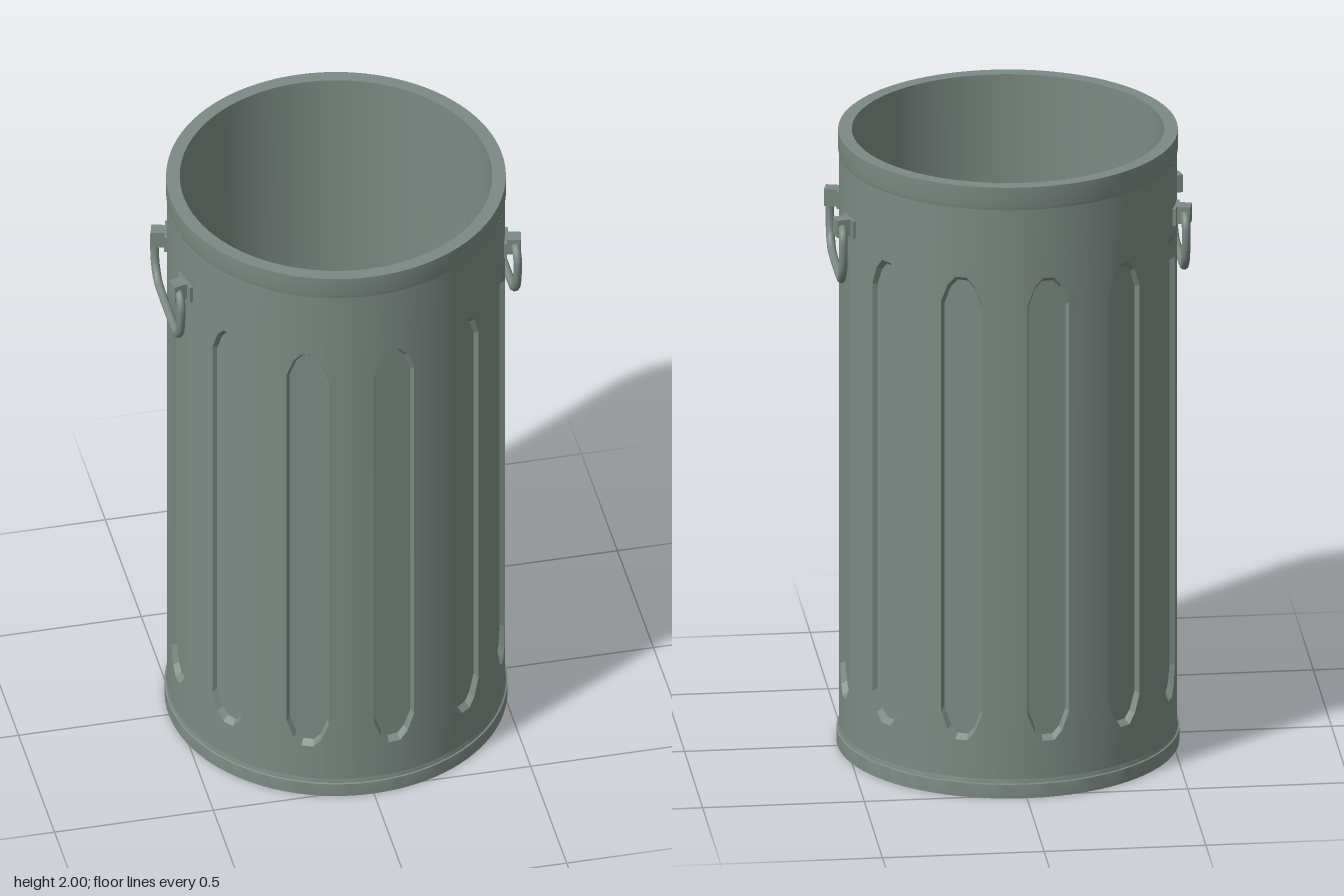
import * as THREE from 'three';
import { toCreasedNormals } from 'three/addons/utils/BufferGeometryUtils.js';

const R = 0.519;            // outer wall radius
const Y0 = 0.06, Y1 = 1.925; // wall bottom and top
const MID = 0.94;           // panel centre height
const PANELS = 12;
const HALF = THREE.MathUtils.degToRad(7.3);
const STEP = (Math.PI * 2) / PANELS;

const polar = (r, a, y) => [r * Math.sin(a), y, r * Math.cos(a)];

// Curved wall with recessed, taper-ended flat panels
function wallGeometry() {
  const pos = [];
  const quad = (a, b, c, d) => pos.push(...a, ...b, ...c, ...a, ...c, ...d);
  // [position across the panel, half height of the panel there]
  const outline = [[-1, 0.67], [-0.65, 0.73], [-0.28, 0.758], [0.28, 0.758], [0.65, 0.73], [1, 0.67]];
  const inner = 0.92, depthPlane = 0.5;

  for (let i = 0; i < PANELS; i++) {
    const c = THREE.MathUtils.degToRad(7.5) + i * STEP;
    const rimPt = ([t, h], s) => polar(R, c + t * HALF, MID + s * h);
    const floorPt = ([t, h], s) => {
      const a = t * HALF * inner;
      return polar(depthPlane / Math.cos(a), c + a, MID + s * (h - 0.018 * (1 - 0.5 * Math.abs(t))));
    };
    for (let k = 0; k < outline.length - 1; k++) {
      const p = outline[k], q = outline[k + 1];
      const ap = c + p[0] * HALF, aq = c + q[0] * HALF;
      // wall above and below the panel
      quad(rimPt(p, 1), rimPt(q, 1), polar(R, aq, Y1), polar(R, ap, Y1));
      quad(polar(R, ap, Y0), polar(R, aq, Y0), rimPt(q, -1), rimPt(p, -1));
      // recessed floor and its end bevels
      quad(floorPt(p, -1), floorPt(q, -1), floorPt(q, 1), floorPt(p, 1));
      quad(floorPt(p, 1), floorPt(q, 1), rimPt(q, 1), rimPt(p, 1));
      quad(rimPt(p, -1), rimPt(q, -1), floorPt(q, -1), floorPt(p, -1));
    }
    // side bevels
    const l = outline[0], r = outline[outline.length - 1];
    quad(rimPt(l, -1), floorPt(l, -1), floorPt(l, 1), rimPt(l, 1));
    quad(floorPt(r, -1), rimPt(r, -1), rimPt(r, 1), floorPt(r, 1));
    // plain wall up to the next panel, split at the panel corners
    const n = 4, ys = [Y0, MID - 0.67, MID + 0.67, Y1];
    for (let k = 0; k < n; k++) {
      const a = c + HALF + ((STEP - 2 * HALF) * k) / n;
      const b = c + HALF + ((STEP - 2 * HALF) * (k + 1)) / n;
      for (let j = 0; j < 3; j++) {
        quad(polar(R, a, ys[j]), polar(R, b, ys[j]), polar(R, b, ys[j + 1]), polar(R, a, ys[j + 1]));
      }
    }
  }
  const g = new THREE.BufferGeometry();
  g.setAttribute('position', new THREE.Float32BufferAttribute(pos, 3));
  return toCreasedNormals(g, 0.3);
}

function lathe(points) {
  const g = new THREE.LatheGeometry(points.map(([x, y]) => new THREE.Vector2(x, y)), 96);
  return toCreasedNormals(g, 0.3);
}

export function createModel() {
  const metal = new THREE.MeshStandardMaterial({ color: 0x7c8a84 });
  metal.name = 'grey green metal';
  const model = new THREE.Group();
  model.name = 'trashCan';

  const add = (parent, name, geometry) => {
    const mesh = new THREE.Mesh(geometry, metal);
    mesh.name = name;
    parent.add(mesh);
    return mesh;
  };

  add(model, 'panelledWall', wallGeometry());
  add(model, 'baseBand', lathe([[0, 0], [0.527, 0], [0.527, 0.045], [0.522, 0.047], [R, Y0]]));
  add(model, 'rimAndInside', lathe([[R, Y1], [0.522, 1.938], [0.522, 2], [0.48, 2], [0.48, 0.05], [0, 0.05]]));

  // Bail handles with two lugs each
  const half = [[0.135, 1.752], [0.165, 1.75], [0.184, 1.728], [0.185, 1.67], [0.17, 1.615], [0.135, 1.58], [0.09, 1.573]];
  const path = [...half, ...half.slice().reverse().map(([z, y]) => [-z, y])]
    .map(([z, y]) => new THREE.Vector3(0.53, y, z));
  const bail = new THREE.TubeGeometry(new THREE.CatmullRomCurve3(path, false, 'centripetal'), 64, 0.0135, 10);

  for (const side of [1, -1]) {
    const handle = new THREE.Group();
    handle.name = side > 0 ? 'leftHandle' : 'rightHandle';
    handle.rotation.y = side > 0 ? 0 : Math.PI;
    add(handle, 'bail', bail);
    for (const s of [1, -1]) {
      const lug = new THREE.Group();
      lug.name = 'lug';
      lug.rotation.y = -s * 0.255;
      add(lug, 'lugBlock', new THREE.BoxGeometry(0.055, 0.056, 0.042)).position.set(0.541, 1.752, 0);
      add(lug, 'lugPlate', new THREE.BoxGeometry(0.016, 0.056, 0.085)).position.set(0.519, 1.752, 0);
      handle.add(lug);
    }
    model.add(handle);
  }
  return model;
}
